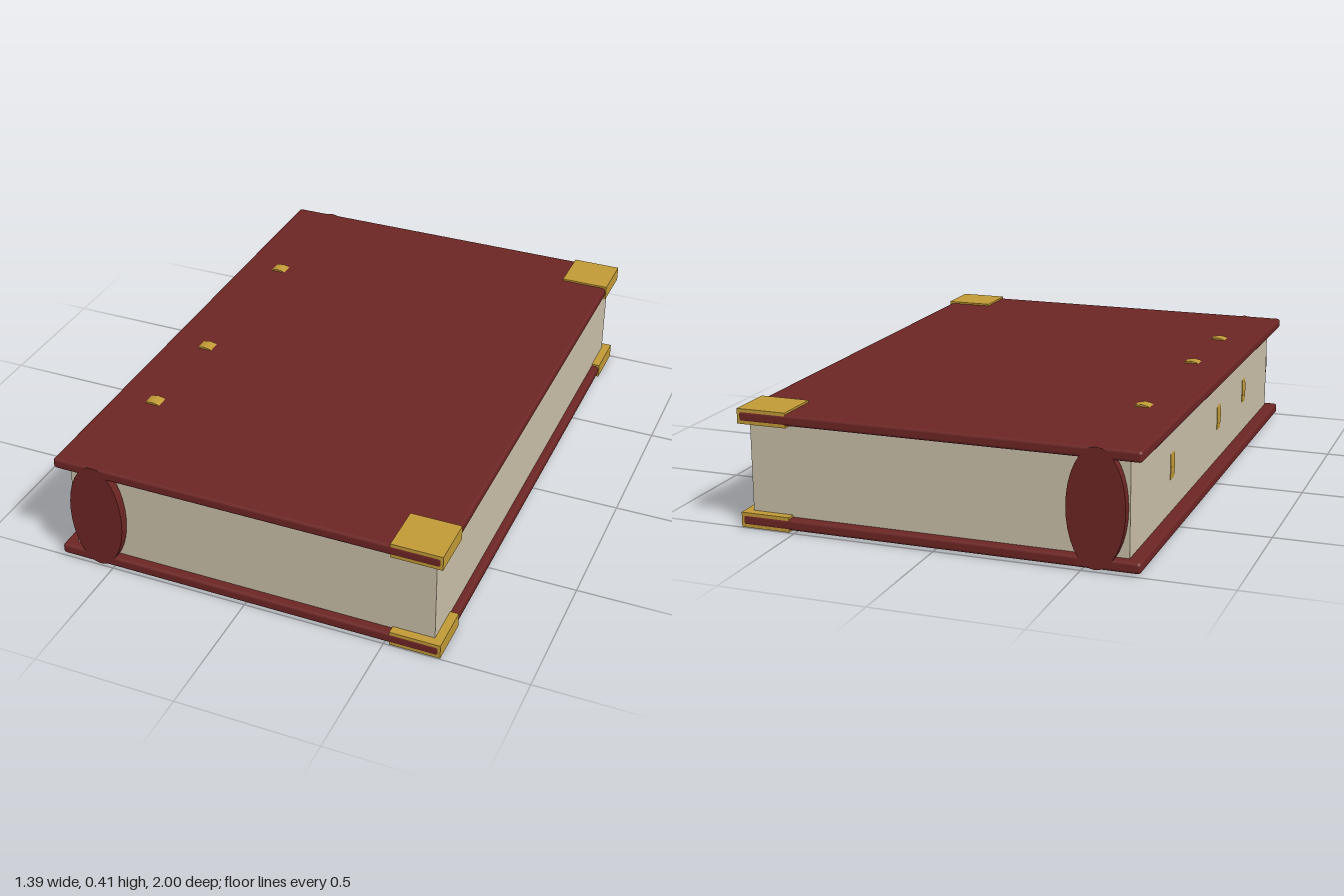
import * as THREE from 'three';
import { RoundedBoxGeometry } from 'three/addons/geometries/RoundedBoxGeometry.js';

const leather = new THREE.MeshStandardMaterial({ color: 0x6b2523 });
const gold = new THREE.MeshStandardMaterial({ color: 0xc09a36 });
const paper = new THREE.MeshStandardMaterial({ color: 0xc8bfa7 });

const MID = 0.21;        // mid height of the book
const COVER = 0.18;      // cover centre above or below mid height
const SPINE_X = -0.547;

export function createModel() {
  const book = new THREE.Group();
  book.name = 'book';

  const add = (name, geometry, material, x, y, z) => {
    const mesh = new THREE.Mesh(geometry, material);
    mesh.name = name;
    mesh.position.set(x, y, z);
    book.add(mesh);
    return mesh;
  };

  // Elliptical cylinder lying along z
  const ellipseRod = (rx, ry, length) =>
    new THREE.CylinderGeometry(1, 1, length, 32).rotateX(Math.PI / 2).scale(rx, ry, 1);

  // Page block
  add('pages', new THREE.BoxGeometry(1.315, 0.33, 1.934), paper, 0.0075, MID, 0);

  // Spine with raised bands
  add('spine', ellipseRod(0.098, 0.2, 2), leather, SPINE_X, MID, 0);
  for (const z of [-0.483, 0.157, 0.557]) {
    add('spineBand', ellipseRod(0.106, 0.207, 0.048), gold, SPINE_X, MID, z);
  }

  // Covers, each with two metal corners on the fore edge
  for (const side of [-1, 1]) {
    const y = MID + side * COVER;
    const name = side > 0 ? 'top' : 'bottom';
    add(name + 'Cover', new RoundedBoxGeometry(1.386, 0.038, 2, 2, 0.011), leather, -0.002, y, 0);
    for (const end of [-1, 1]) {
      add(name + 'Corner', new THREE.BoxGeometry(0.176, 0.052, 0.172), gold, 0.607, y, end * 0.912);
    }
  }
  return book;
}
